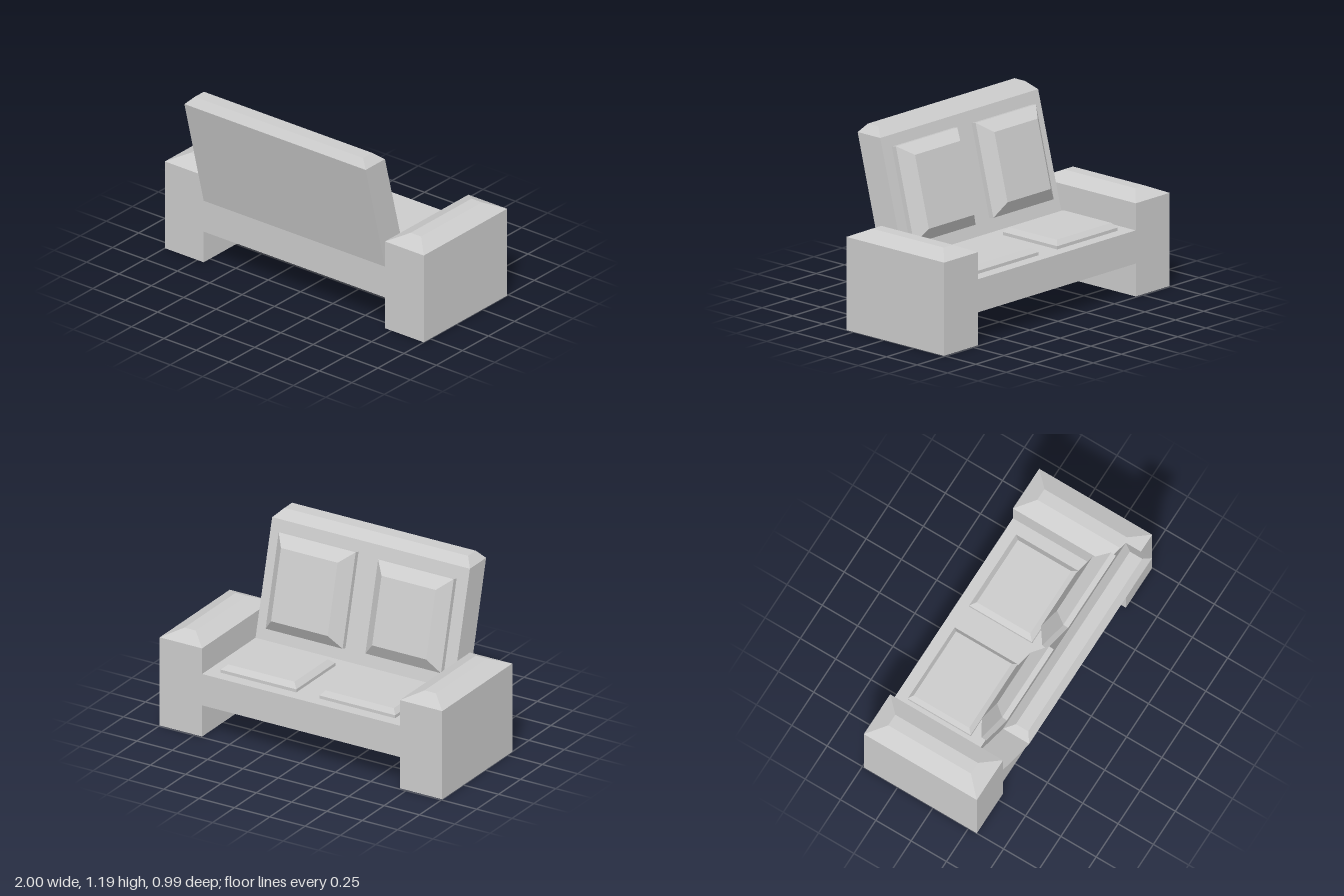
import * as THREE from 'three';

const material = new THREE.MeshStandardMaterial({ color: 0xcccccc, flatShading: true });

// Solid lofted through rectangles, bottom to top; each ring is [y, x0, x1, z0, z1]
function loft(name, rings) {
  const loops = rings.map(([y, x0, x1, z0, z1]) => [
    [x0, y, z1], [x1, y, z1], [x1, y, z0], [x0, y, z0],
  ]);
  const pos = [];
  const quad = (a, b, c, d) => pos.push(...a, ...b, ...c, ...a, ...c, ...d);
  for (let r = 0; r + 1 < loops.length; r++) {
    for (let i = 0; i < 4; i++) {
      const j = (i + 1) % 4;
      quad(loops[r][i], loops[r][j], loops[r + 1][j], loops[r + 1][i]);
    }
  }
  quad(...loops[loops.length - 1]);
  quad(...[...loops[0]].reverse());
  const geometry = new THREE.BufferGeometry();
  geometry.setAttribute('position', new THREE.Float32BufferAttribute(pos, 3));
  geometry.computeVertexNormals();
  const mesh = new THREE.Mesh(geometry, material);
  mesh.name = name;
  return mesh;
}

// Cushion lying on y = 0: a thin straight lip, then a bevel up to a smaller top
function cushion(name, x0, x1, depth, lip, bevel, inset) {
  const h = depth / 2;
  return loft(name, [
    [0, x0, x1, -h, h],
    [lip, x0, x1, -h, h],
    [lip + bevel, x0 + inset, x1 - inset, -h + inset, h - inset],
  ]);
}

export function createModel() {
  const sofa = new THREE.Group();
  sofa.name = 'sofa';

  // Seat base between the arms
  sofa.add(loft('seatBase', [
    [0.207, -0.7, 0.7, -0.49, 0.31],
    [0.415, -0.7, 0.7, -0.49, 0.31],
  ]));

  // Arms with hipped tops, down to the ground
  for (const [name, x] of [['leftArm', 0.85], ['rightArm', -0.85]]) {
    sofa.add(loft(name, [
      [0, x - 0.15, x + 0.15, -0.49, 0.31],
      [0.585, x - 0.15, x + 0.15, -0.49, 0.31],
      [0.635, x - 0.04, x + 0.04, -0.385, 0.2],
    ]));
  }

  // Leaning backrest with a bevelled top
  sofa.add(loft('backrest', [
    [0.415, -0.7, 0.7, 0.12, 0.31],
    [1.14, -0.7, 0.7, 0.31, 0.495],
    [1.19, -0.65, 0.65, 0.37, 0.457],
  ]));

  // Seat cushions
  const seats = [
    cushion('leftSeatCushion', 0.08, 0.615, 0.445, 0.02, 0.03, 0.033),
    cushion('rightSeatCushion', -0.62, -0.085, 0.445, 0.02, 0.03, 0.026),
  ];
  for (const seat of seats) {
    seat.position.set(0, 0.415, -0.192);
    sofa.add(seat);
  }

  // Back cushions, tilted to lie on the backrest
  const backs = [
    cushion('leftBackCushion', 0.075, 0.62, 0.6, 0.034, 0.075, 0.072),
    cushion('rightBackCushion', -0.62, -0.085, 0.585, 0.034, 0.067, 0.076),
  ];
  for (const back of backs) {
    back.rotation.x = -1.319;
    back.position.set(0, 0.782, 0.214);
    sofa.add(back);
  }

  return sofa;
}
